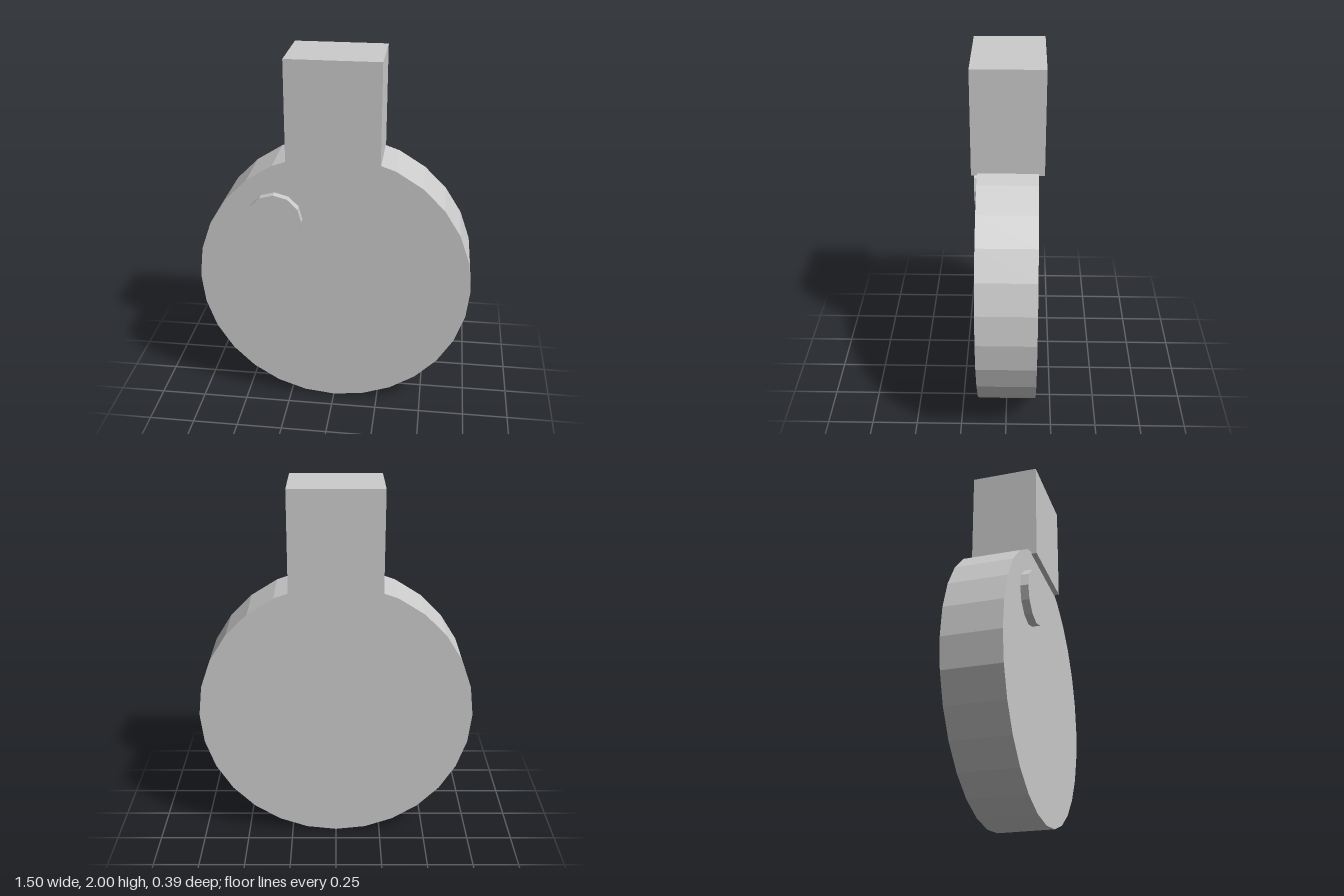
import * as THREE from 'three';

export function createModel() {
  const model = new THREE.Group();
  const grey = new THREE.MeshStandardMaterial({ color: 0xcccccc, flatShading: true });
  grey.name = 'light grey';

  const add = (name, geometry, x, y, z) => {
    const mesh = new THREE.Mesh(geometry, grey);
    mesh.name = name;
    mesh.position.set(x, y, z);
    model.add(mesh);
  };
  // Faceted disc with its axis along z
  const disc = (radius, depth, sides) =>
    new THREE.CylinderGeometry(radius, radius, depth, sides).rotateX(Math.PI / 2);

  // Large round body
  add('body', disc(0.748, 0.312, 28), 0, 0.75, -0.006);
  // Block on top, slightly thicker than the body
  add('topBlock', new THREE.BoxGeometry(0.494, 0.56, 0.373), 0, 1.72, -0.0065);
  // Small raised button on the front, sunk a little into the body
  add('button', disc(0.148, 0.063, 12), -0.315, 1.126, 0.1615);

  return model;
}
